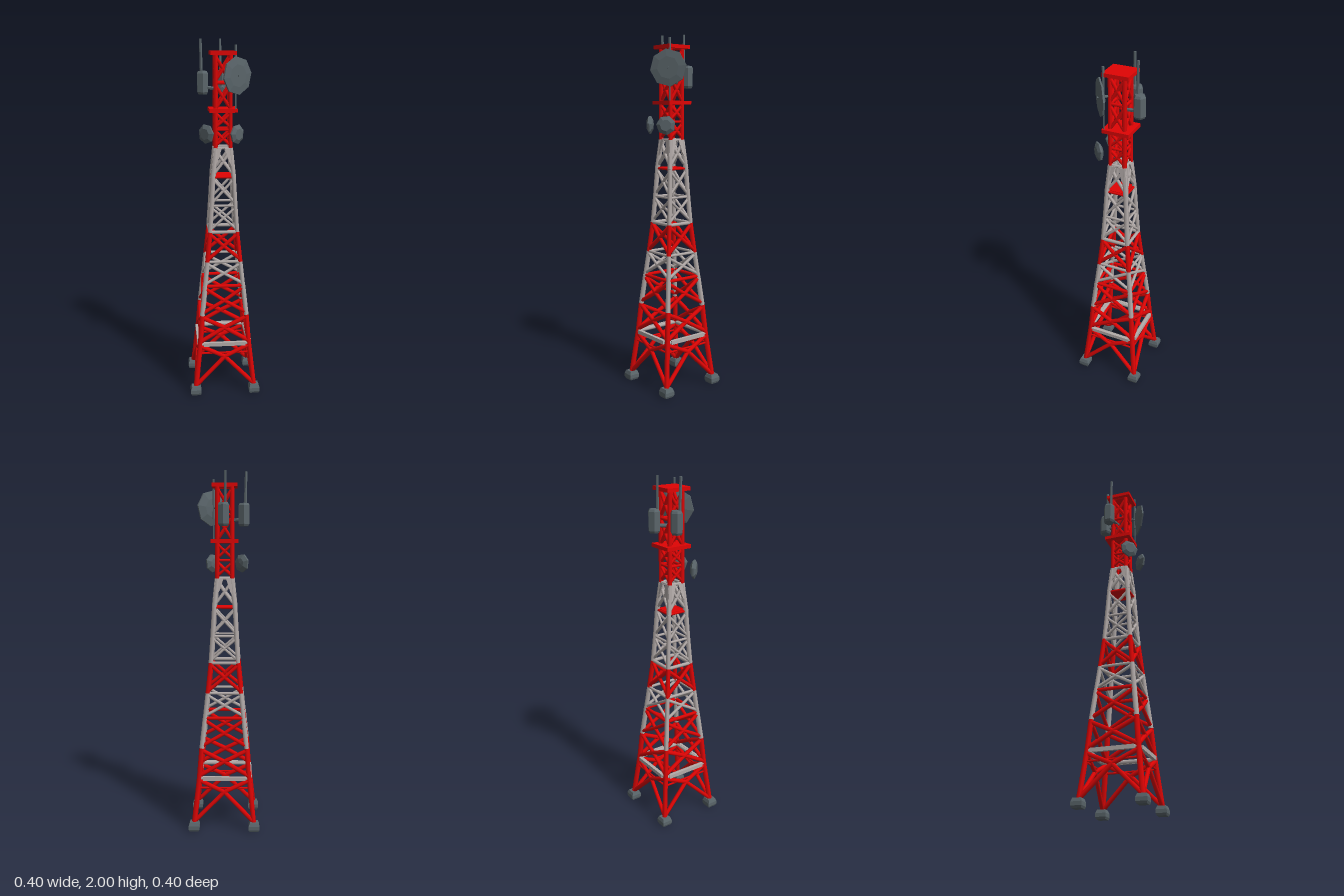
import * as THREE from 'three';

const mat = (name, color, flatShading = false) => {
  const m = new THREE.MeshStandardMaterial({ color, flatShading });
  m.name = name;
  return m;
};

export function createModel() {
  const red = mat('signal red', 0xe00404);
  const white = mat('dull white', 0xb4acaa);
  const grey = mat('slate grey', 0x5a656a, true);
  const tower = new THREE.Group();
  tower.name = 'latticeTower';

  const V = (x, y, z) => new THREE.Vector3(x, y, z);
  const UP = V(0, 1, 0);

  const add = (parent, name, geometry, material, pos = V(0, 0, 0)) => {
    const mesh = new THREE.Mesh(geometry, material);
    mesh.name = name;
    mesh.position.copy(pos);
    parent.add(mesh);
    return mesh;
  };

  // Turned solid from [radius, height] points, bottom to top
  const turned = (points, sides) =>
    new THREE.LatheGeometry(points.map(([x, y]) => new THREE.Vector2(x, y)), sides);

  // Round bar between two points
  const beam = (parent, name, a, b, r, material, r2 = r) => {
    const d = b.clone().sub(a);
    const mesh = add(parent, name, new THREE.CylinderGeometry(r2, r, d.length(), 6), material,
      a.clone().add(b).multiplyScalar(0.5));
    mesh.quaternion.setFromUnitVectors(UP, d.normalize());
  };

  // Half width of the tower at leg centres: [height, half width]
  const taper = [[0.03, 0.17], [0.3, 0.14], [0.47, 0.126], [0.78, 0.093], [0.95, 0.076],
    [1.1, 0.066], [1.26, 0.057], [1.42, 0.041], [1.93, 0.04]];
  const half = (y) => {
    for (let i = 1; i < taper.length; i++) {
      const [y0, w0] = taper[i - 1], [y1, w1] = taper[i];
      if (y <= y1) return w0 + (w1 - w0) * (y - y0) / (y1 - y0);
    }
    return 0.04;
  };

  // Panels: [bottom, brace crossing, top, leg colour, brace colour, top rail colour, leg radius, brace radius]
  const panels = [
    [0.04, 0.222, 0.3, red, red, white, 0.015, 0.0125],
    [0.3, 0.395, 0.47, red, red, null, 0.015, 0.0125],
    [0.47, 0.555, 0.64, white, red, red, 0.0145, 0.011],
    [0.64, 0.713, 0.78, white, white, white, 0.0135, 0.009],
    [0.78, 0.87, 0.95, red, red, white, 0.0135, 0.011],
    [0.95, 1.03, 1.1, white, white, white, 0.0135, 0.008],
    [1.1, 1.185, 1.26, white, white, red, 0.0135, 0.008],
    [1.26, 1.345, 1.42, white, white, white, 0.0145, 0.009],
    [1.42, 1.47, 1.52, red, red, red, 0.0125, 0.0085],
    [1.52, 1.57, 1.62, red, red, red, 0.0125, 0.0085],
    [1.62, 1.695, 1.77, red, red, red, 0.0125, 0.0095],
    [1.77, 1.845, 1.92, red, red, red, 0.0125, 0.0095],
  ];

  // Concrete foot profile
  const foot = turned([[0, 0], [0.036, 0.004], [0.043, 0.016], [0.043, 0.036], [0.033, 0.055], [0, 0.055]], 4);
  foot.rotateY(Math.PI / 4);

  for (let s = 0; s < 4; s++) {
    const side = new THREE.Group();
    side.name = 'towerSide' + (s + 1);
    side.rotation.y = s * Math.PI / 2;
    tower.add(side);
    for (const [y0, yc, y1, legMat, braceMat, railMat, legR, r] of panels) {
      const a = half(y0), b = half(y1);
      beam(side, 'leg', V(a, y0, a), V(b, y1, b), legR, legMat);
      // Cross braces meet at the crossing height
      const yb = y0 + 0.014, yt = y1 - 0.012, wb = half(yb), wt = half(yt);
      const middle = V(0, yc, half(yc));
      for (const m of [-1, 1]) {
        beam(side, 'lowerBrace', V(m * wb, yb, wb), middle, r, braceMat);
        beam(side, 'upperBrace', middle, V(m * wt, yt, wt), r, braceMat);
      }
      if (railMat) beam(side, 'rail', V(-b, y1, b), V(b, y1, b), r * 0.9, railMat);
    }
    // White fascia over the first rail, and the thin rail below it
    add(side, 'railFascia', new THREE.BoxGeometry(0.24, 0.022, 0.016), white, V(0, 0.3, half(0.3) + 0.008));
    const w = half(0.245);
    beam(side, 'lowerRail', V(-w, 0.245, w), V(w, 0.245, w), 0.006, red);
    // Plates at the waist joint, leaning with the taper
    for (const m of [-1, 1]) {
      const plate = new THREE.Shape([
        new THREE.Vector2(m * 0.05, 1.42), new THREE.Vector2(m * 0.008, 1.42),
        new THREE.Vector2(m * 0.03, 1.35), new THREE.Vector2(m * 0.058, 1.3)]);
      const g = new THREE.ExtrudeGeometry(plate, { depth: 0.008, bevelEnabled: false });
      const p = g.attributes.position;
      for (let i = 0; i < p.count; i++) p.setZ(i, p.getZ(i) + half(p.getY(i)) + 0.004);
      g.computeVertexNormals();
      add(side, 'gusset', g, white);
    }
    add(side, 'foot', foot, grey, V(0.169, 0, 0.169));
  }

  // Platforms
  add(tower, 'innerPlate', new THREE.BoxGeometry(0.1, 0.008, 0.1), red, V(0, 1.262, 0));
  add(tower, 'middlePlatform', new THREE.BoxGeometry(0.152, 0.02, 0.154), red, V(0, 1.625, -0.002));
  add(tower, 'topPlatform', new THREE.BoxGeometry(0.138, 0.02, 0.145), red, V(0, 1.927, 0));

  // Round dish facing direction (nx, nz)
  const dish = (name, pos, nx, nz, r, back, front, sides) => {
    const bowl = add(tower, name, turned([[0, -back], [r * 0.55, -back * 0.85], [r, -0.004], [r, 0.005],
      [r * 0.6, front], [0, front]], sides), grey, pos);
    bowl.quaternion.setFromUnitVectors(UP, V(nx, 0, nz).normalize());
    return bowl;
  };
  const large = dish('largeDish', V(0.072, 1.81, 0.08), 0.61, 0.79, 0.101, 0.018, 0.01, 8);
  beam(large, 'feed', V(0, 0, 0), V(0, 0.016, 0), 0.005, grey);
  beam(tower, 'largeDishArm', V(0.035, 1.81, 0.035), V(0.072, 1.81, 0.08), 0.007, grey);
  dish('smallDishLeft', V(0.07, 1.502, 0.095), 0.7, 0.71, 0.053, 0.02, 0.016, 7);
  dish('smallDishRight', V(-0.095, 1.503, 0.08), -0.72, 0.69, 0.053, 0.02, 0.016, 7);

  // Drum antennas with chamfered ends on the back and right
  const drum = turned([[0, -0.064], [0.027, -0.062], [0.034, -0.05], [0.034, 0.05], [0.027, 0.062], [0, 0.064]], 6);
  for (const [x, z] of [[0.005, -0.107], [-0.106, -0.042]]) {
    add(tower, 'drumAntenna', drum, grey, V(x, 1.768, z));
    beam(tower, 'drumArm', V(x * 0.25, 1.735, z * 0.25), V(x, 1.745, z), 0.01, grey);
  }

  // Whip antennas
  beam(tower, 'whipBack', V(-0.005, 1.8, -0.092), V(-0.005, 2, -0.092), 0.008, grey, 0.007);
  beam(tower, 'whipRight', V(-0.113, 1.83, -0.028), V(-0.117, 2, -0.025), 0.009, grey, 0.008);
  beam(tower, 'whipFront', V(0.065, 1.75, 0.065), V(0.065, 1.97, 0.065), 0.007, grey);
  beam(tower, 'whipPost', V(0.065, 1.62, 0.065), V(0.065, 1.75, 0.065), 0.004, grey);

  return tower;
}
